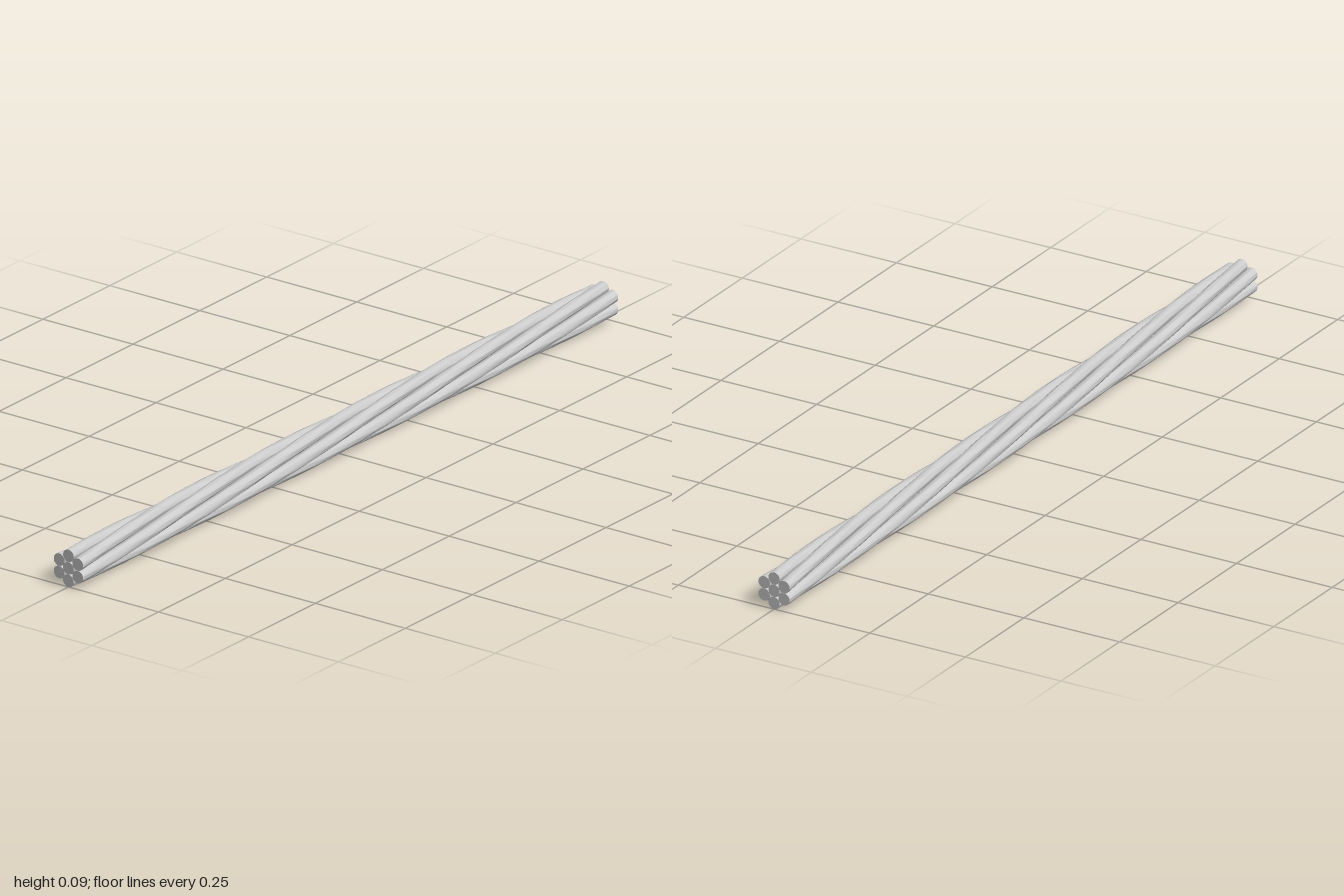
import * as THREE from 'three';
import { toCreasedNormals } from 'three/addons/utils/BufferGeometryUtils.js';

const LENGTH = 2;
const WIRE_RADIUS = 0.0149;
const LAY_RADIUS = 0.0299; // distance of the outer wires from the core
const TURNS = 1;
const AXIS_HEIGHT = 0.045;

// A straight wire along z, moved off the axis and then twisted around it
function wireGeometry(offset, startAngle) {
  const geometry = new THREE.CylinderGeometry(WIRE_RADIUS, WIRE_RADIUS, LENGTH, 28, offset ? 48 : 1);
  geometry.rotateX(Math.PI / 2);
  geometry.translate(offset, 0, 0);
  const position = geometry.attributes.position;
  const point = new THREE.Vector3();
  const axis = new THREE.Vector3(0, 0, 1);
  for (let i = 0; i < position.count; i++) {
    point.fromBufferAttribute(position, i);
    const twist = (LENGTH / 2 - point.z) / LENGTH * TURNS * Math.PI * 2;
    point.applyAxisAngle(axis, startAngle + twist);
    position.setXYZ(i, point.x, point.y, point.z);
  }
  return toCreasedNormals(geometry, Math.PI / 5);
}

export function createModel() {
  const cable = new THREE.Group();
  cable.name = 'twistedCable';
  const material = new THREE.MeshStandardMaterial({ color: 0xcccccc });

  const addWire = (name, offset, angle) => {
    const wire = new THREE.Mesh(wireGeometry(offset, angle), material);
    wire.name = name;
    wire.position.y = AXIS_HEIGHT;
    cable.add(wire);
  };

  // Straight core wire
  addWire('coreWire', 0, 0);

  // Six wires laid helically around the core
  for (let i = 0; i < 6; i++) {
    addWire(`outerWire${i + 1}`, LAY_RADIUS, Math.PI / 2 + i * Math.PI / 3);
  }
  return cable;
}
